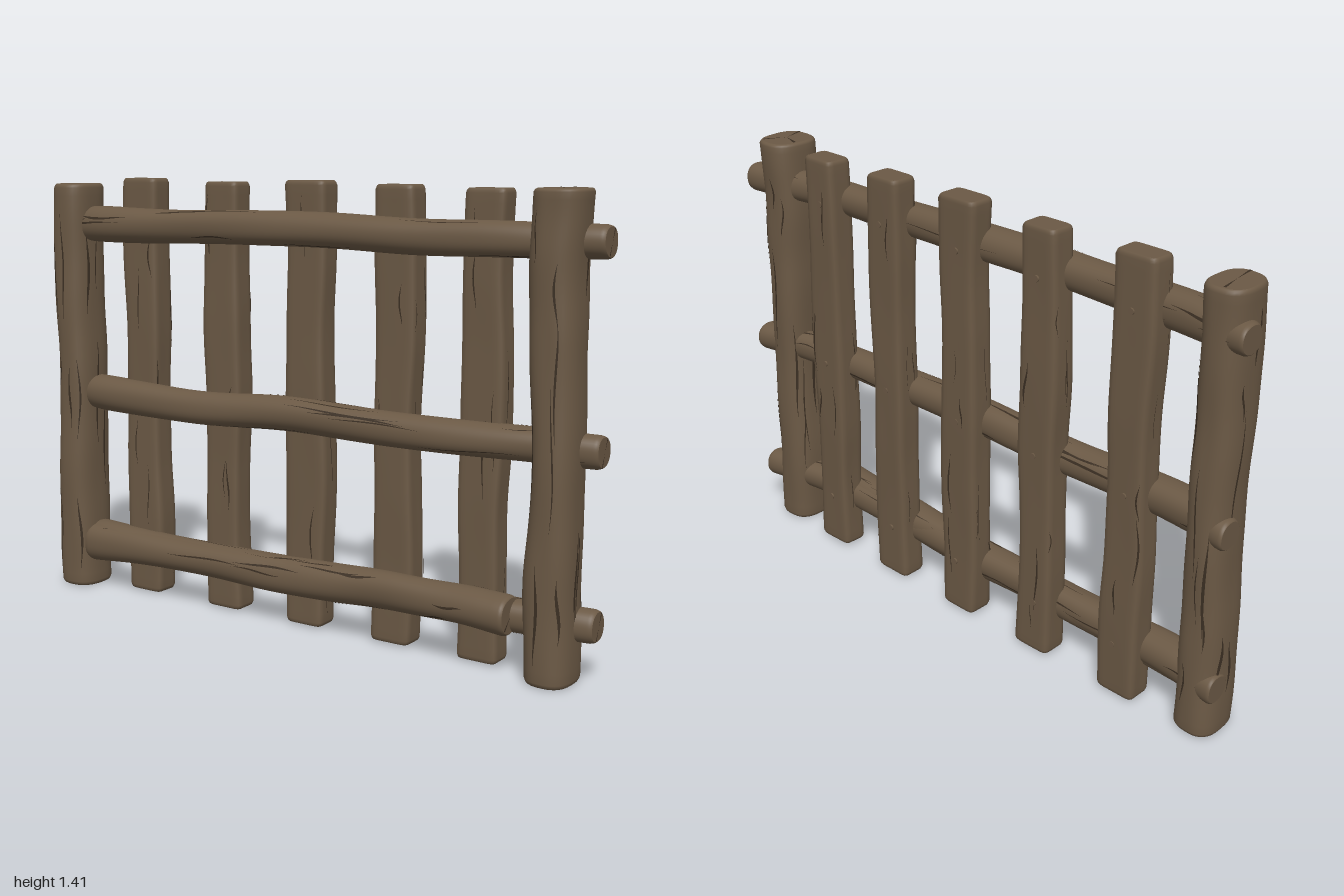
import * as THREE from 'three';

const wood = new THREE.MeshStandardMaterial({ color: 0x6b5945 });
wood.name = 'weathered wood';
const dark = new THREE.MeshStandardMaterial({ color: 0x3b2f23 });
dark.name = 'dark cracks';

const SIDES = 40, RINGS = 48;

function makeRandom(seed) {
  let s = seed * 7919 + 17;
  return () => (s = (s * 16807) % 2147483647) / 2147483647;
}

function makeMesh(name, positions, index, material) {
  const g = new THREE.BufferGeometry();
  g.setAttribute('position', new THREE.Float32BufferAttribute(positions, 3));
  g.setIndex(index);
  g.computeVertexNormals();
  const mesh = new THREE.Mesh(g, material);
  mesh.name = name;
  return mesh;
}

// Surface of a timber. Stations are [along, centre a, centre z, half size a, half size z];
// "along" runs on the given axis, "a" is the other axis of the front plane.
function timberSurface({ axis, stations, power, rough, seed }) {
  const centre = new THREE.CatmullRomCurve3(stations.map(p => new THREE.Vector3(p[0], p[1], p[2])));
  const size = new THREE.CatmullRomCurve3(stations.map(p => new THREE.Vector3(p[3], p[4], 0)));
  return (s, angle, scale = 1) => {
    const c = centre.getPoint(s), h = size.getPoint(s);
    const ca = Math.cos(angle), sa = Math.sin(angle);
    const shape = Math.pow(Math.abs(ca) ** power + Math.abs(sa) ** power, -1 / power);
    const lumps = 1 + rough * (Math.sin(2 * angle + 11 * s + seed) + Math.sin(3 * angle - 17 * s + 2 * seed)
      + 0.8 * Math.sin(31 * s + seed * 3 + angle));
    const bevel = Math.min(1, 0.88 + 0.12 * Math.sqrt(Math.min(s, 1 - s) / 0.01));
    const r = shape * lumps * bevel * scale;
    const a = c.y + h.x * r * ca;
    return axis === 'y' ? [a, c.x, c.z + h.y * r * sa] : [c.x, a, c.z - h.y * r * sa];
  };
}

// Closed body: side wall plus two flat end caps
function timberBody(name, surface) {
  const rows = [0, 0.002, 0.005];
  for (let i = 0; i <= RINGS; i++) rows.push(0.01 + 0.98 * i / RINGS);
  rows.push(0.995, 0.998, 1);
  const pos = [], idx = [];
  const ring = s => {
    for (let j = 0; j < SIDES; j++) pos.push(...surface(s, j / SIDES * Math.PI * 2));
  };
  rows.forEach(ring);
  for (let i = 0; i < rows.length - 1; i++) {
    for (let j = 0; j < SIDES; j++) {
      const a = i * SIDES + j, b = i * SIDES + (j + 1) % SIDES;
      idx.push(a, a + SIDES, b, b, a + SIDES, b + SIDES);
    }
  }
  for (const s of [0, 1]) {
    const first = pos.length / 3;
    ring(s);
    pos.push(...surface(s, 0, 0));
    for (let j = 0; j < SIDES; j++) {
      const a = first + j, b = first + (j + 1) % SIDES;
      idx.push(first + SIDES, s ? b : a, s ? a : b);
    }
  }
  return makeMesh(name, pos, idx, wood);
}

// Thin tapered grain cracks lying on the surface
function grainCracks(name, surface, count, length, width, seed) {
  const random = makeRandom(seed), pos = [], idx = [], N = 14;
  for (let k = 0; k < count; k++) {
    const angle = (k + random() * 0.9) / count * Math.PI * 2 * 3;
    const len = length * (0.4 + random());
    const start = 0.02 + random() * (0.96 - len);
    const w = width * (0.5 + random()), bend = random() * 6;
    const first = pos.length / 3;
    for (let i = 0; i <= N; i++) {
      const v = i / N, mid = angle + 0.07 * Math.sin(bend + 5 * v);
      const half = w * Math.sin(Math.PI * Math.min(0.98, Math.max(0.02, v)));
      for (const side of [-1, 1]) pos.push(...surface(start + len * v, mid + side * half, 1.02));
      if (i < N) {
        const a = first + i * 2;
        idx.push(a, a + 2, a + 1, a + 1, a + 2, a + 3);
      }
    }
  }
  return makeMesh(name, pos, idx, dark);
}

// Thin split running outwards over an end face
function endSplit(surface, s, angle, lift) {
  const pos = [], idx = [];
  for (const r of [0.05, 0.5, 0.97]) {
    for (const side of [-1, 1]) {
      const p = surface(s, angle + side * 0.07, r);
      p[lift.axis] += lift.by;
      pos.push(...p);
    }
  }
  for (const a of [0, 2]) {
    if (s) idx.push(a, a + 1, a + 2, a + 1, a + 3, a + 2);
    else idx.push(a, a + 2, a + 1, a + 1, a + 2, a + 3);
  }
  return makeMesh('endSplit', pos, idx, dark);
}

function timber(name, options, cracks, length, width) {
  const group = new THREE.Group();
  group.name = name;
  const surface = timberSurface(options);
  group.add(timberBody(name + 'Body', surface));
  group.add(grainCracks(name + 'Cracks', surface, cracks, length, width, options.seed));
  const lift = options.axis === 'y' ? 1 : 0;
  if (options.splits) {
    for (const a of options.splits) group.add(endSplit(surface, 1, a, { axis: lift, by: 0.002 }));
  }
  return group;
}

export function createModel() {
  const fence = new THREE.Group();
  fence.name = 'fence';

  // Two heavy posts
  fence.add(timber('rightPost', {
    axis: 'y', power: 2.7, rough: 0.014, seed: 1, splits: [1.4, 4.5],
    stations: [[0, -0.913, 0, 0.071, 0.085], [0.35, -0.913, 0.003, 0.069, 0.085], [0.7, -0.908, -0.003, 0.066, 0.085],
      [1.05, -0.914, 0, 0.067, 0.084], [1.39, -0.915, -0.005, 0.069, 0.085]],
  }, 22, 0.2, 0.045));
  fence.add(timber('leftPost', {
    axis: 'y', power: 2.7, rough: 0.014, seed: 2, splits: [1.2, 3.4, 5.3],
    stations: [[0, 0.882, -0.002, 0.07, 0.086], [0.3, 0.876, 0, 0.074, 0.086], [0.6, 0.884, 0, 0.066, 0.085],
      [0.95, 0.874, -0.002, 0.07, 0.085], [1.2, 0.867, -0.003, 0.075, 0.086], [1.4, 0.877, -0.006, 0.076, 0.09]],
  }, 22, 0.2, 0.045));

  // Three log rails, their ends bending back past the posts
  const rails = [
    ['bottomRail', 0.17, [0, 0, -0.005, 0, 0.005, 0.005, 0], -0.985],
    ['middleRail', 0.68, [0, 0.003, -0.008, 0.006, -0.002, 0, -0.005], -0.985],
    ['topRail', 1.255, [0.003, 0, 0.004, 0.008, 0, 0, 0], -1],
  ];
  rails.forEach(([name, y, dy, end], i) => {
    const xs = [end, -0.8, -0.4, 0, 0.4, 0.75, 1];
    const zs = [-0.042, -0.002, 0.008, 0.004, 0.008, -0.005, -0.043];
    const rs = [0.046, 0.059, 0.053, 0.055, 0.053, 0.05, 0.048];
    fence.add(timber(name, {
      axis: 'x', power: 2.2, rough: 0.018, seed: 3 + i, splits: [0.4, 3.5],
      stations: xs.map((x, k) => [x, y + dy[k], zs[k], rs[k], rs[k]]),
    }, 22, 0.13, 0.05));
  });

  // Thick log fixed to the front of the bottom rail
  fence.add(timber('frontLog', {
    axis: 'x', power: 2.2, rough: 0.02, seed: 8, splits: [0.8, 3.9],
    stations: [[-0.86, 0.155, 0.015, 0.064, 0.06], [-0.5, 0.163, 0.012, 0.055, 0.056], [-0.2, 0.163, 0.01, 0.056, 0.055],
      [0.05, 0.165, 0.01, 0.06, 0.056], [0.3, 0.178, 0.012, 0.059, 0.056], [0.55, 0.184, 0.022, 0.057, 0.058],
      [0.765, 0.183, 0.04, 0.059, 0.06]],
  }, 22, 0.15, 0.05));

  // Five squared pickets behind the rails, each with small pegs on the back
  const pickets = [[-0.648, 0.071, 1.41], [-0.311, 0.069, 1.402], [0.015, 0.074, 1.41], [0.336, 0.069, 1.402], [0.63, 0.069, 1.396]];
  const peg = new THREE.CylinderGeometry(0.01, 0.01, 0.012, 12).rotateX(Math.PI / 2);
  pickets.forEach(([x, w, top], i) => {
    const stations = [];
    for (let k = 0; k <= 6; k++) {
      stations.push([0.006 + (top - 0.006) * k / 6, x + 0.004 * Math.sin(k * 2.1 + i * 1.7), -0.045,
        w - 0.003 + 0.004 * Math.sin(k * 1.5 + i * 2.3), 0.044 + 0.002 * Math.sin(k * 1.9 + i)]);
    }
    const picket = timber('picket' + (i + 1), { axis: 'y', power: 9, rough: 0.006, seed: 11 + i, stations }, 12, 0.13, 0.035);
    for (const y of [0.18, 0.69, 1.25]) {
      const m = new THREE.Mesh(peg, wood);
      m.name = 'peg';
      m.position.set(x + 0.015 * Math.sin(i * 3 + y * 5), y, -0.087);
      picket.add(m);
    }
    fence.add(picket);
  });

  return fence;
}
